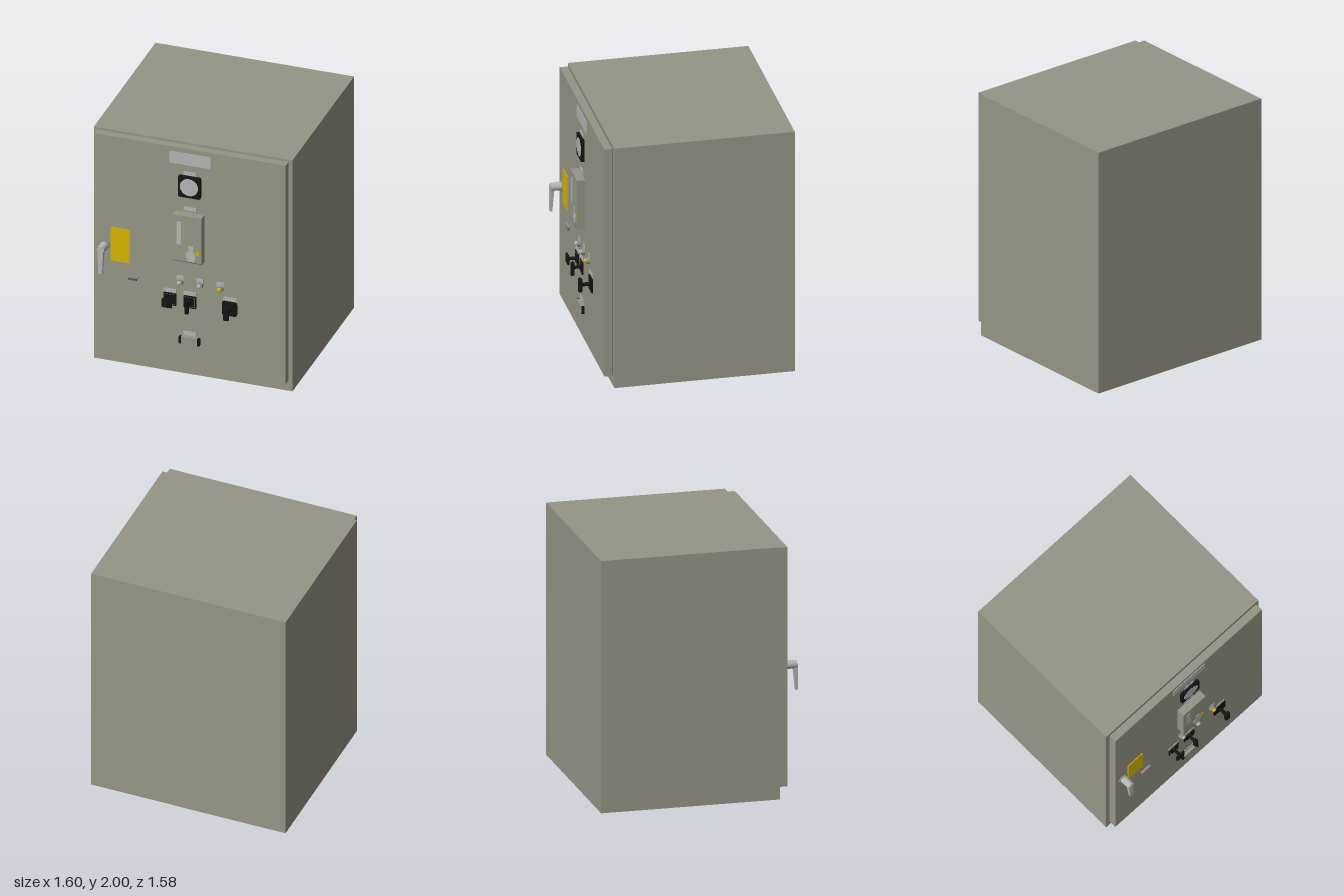
import * as THREE from 'three';
import { RoundedBoxGeometry } from 'three/addons/geometries/RoundedBoxGeometry.js';

const paint = (name, color) => {
  const m = new THREE.MeshStandardMaterial({ color });
  m.name = name;
  return m;
};

export function createModel() {
  const cabinetPaint = paint('cabinet grey-beige', 0x969686);
  const black = paint('black plastic', 0x141414);
  const silver = paint('label silver', 0xb4b4b4);
  const yellow = paint('yellow', 0xd8b400);
  const steel = paint('steel grey', 0x8c8c8c);
  const seam = paint('seam dark grey', 0x55554c);

  const model = new THREE.Group();
  model.name = 'controlCabinet';
  const FACE = 0.685; // door front plane

  const add = (name, geometry, material, x = 0, y = 0, z = 0, parent = model) => {
    const mesh = new THREE.Mesh(geometry, material);
    mesh.name = name;
    mesh.position.set(x, y, z);
    parent.add(mesh);
    return mesh;
  };
  // Box given by its limits on each axis
  const block = (name, m, x0, x1, y0, y1, z0, z1) =>
    add(name, new THREE.BoxGeometry(x1 - x0, y1 - y0, z1 - z0), m,
      (x0 + x1) / 2, (y0 + y1) / 2, (z0 + z1) / 2);
  // Round part turned about the z axis, starting at z0
  const disc = (name, m, x, y, z0, z1, rBack, rFront = rBack, sides = 28) => {
    const g = new THREE.CylinderGeometry(rFront, rBack, z1 - z0, sides);
    g.rotateX(Math.PI / 2);
    return add(name, g, m, x, y, (z0 + z1) / 2);
  };
  const label = (x, y0, y1, half = 0.05) =>
    block('label', silver, x - half, x + half, y0, y1, FACE, FACE + 0.004);
  // Square plate with rounded corners
  const roundPlate = (name, m, x, y, w, h, z0, z1, r) => {
    const a = w / 2, b = h / 2;
    const s = new THREE.Shape();
    s.moveTo(-a + r, -b);
    s.lineTo(a - r, -b); s.quadraticCurveTo(a, -b, a, -b + r);
    s.lineTo(a, b - r); s.quadraticCurveTo(a, b, a - r, b);
    s.lineTo(-a + r, b); s.quadraticCurveTo(-a, b, -a, b - r);
    s.lineTo(-a, -b + r); s.quadraticCurveTo(-a, -b, -a + r, -b);
    return add(name, new THREE.ExtrudeGeometry(s, { depth: z1 - z0, bevelEnabled: false, curveSegments: 5 }), m, x, y, z0);
  };

  // Enclosure and door
  block('cabinetBody', cabinetPaint, -0.8, 0.8, 0, 2, -0.79, 0.615);
  block('doorGasket', seam, -0.763, 0.763, 0.097, 1.978, 0.615, 0.622);
  block('door', cabinetPaint, -0.77, 0.77, 0.09, 1.985, 0.622, FACE);

  // Nameplate and the labels above the instruments
  block('nameplate', silver, -0.165, 0.165, 1.845, 1.945, FACE, FACE + 0.005);
  label(0, 1.757, 1.79);
  label(0, 1.453, 1.485);
  label(0, 0.372, 0.408);

  // Round-dial meter
  roundPlate('meterCase', black, 0, 1.665, 0.18, 0.18, FACE, 0.71, 0.015);
  disc('meterDial', silver, 0, 1.667, 0.708, 0.712, 0.073, 0.073, 40);

  // Protection relay with display, keypad and indicator
  block('relayCase', cabinetPaint, -0.115, 0.115, 1.03, 1.437, FACE, 0.75);
  block('relaySeam', seam, -0.115, 0.115, 1.04, 1.044, 0.75, 0.751);
  block('relayDisplay', silver, -0.085, -0.043, 1.185, 1.38, 0.75, 0.753);
  const keypad = new THREE.Shape([
    [0.005, 1.05], [0.055, 1.05], [0.063, 1.07], [0.063, 1.125], [0.048, 1.13],
    [0.048, 1.185], [0.01, 1.185], [0.01, 1.13], [-0.01, 1.12], [-0.01, 1.08], [0.005, 1.075],
  ].map(([x, y]) => new THREE.Vector2(x, y)));
  add('relayKeypad', new THREE.ExtrudeGeometry(keypad, { depth: 0.003, bevelEnabled: false }), silver, 0, 0, 0.75);
  block('relayIndicator', yellow, 0.068, 0.095, 1.113, 1.145, 0.75, 0.753);

  // Row of indicator lamps
  [[-0.08, silver], [0.08, silver], [0.243, yellow]].forEach(([x, lens]) => {
    label(x, 0.835, 0.88, 0.027);
    disc('lampCollar', steel, x, 0.826, FACE, 0.708, 0.028, 0.024);
    disc('lampLens', lens, x, 0.826, 0.708, 0.718, 0.018);
    const dome = new THREE.SphereGeometry(0.018, 20, 6, 0, Math.PI * 2, 0, Math.PI / 2);
    dome.rotateX(Math.PI / 2);
    dome.scale(1, 1, 0.5);
    add('lampDome', dome, lens, x, 0.826, 0.718);
  });

  // Selector switches with framed plates
  [-0.16, 0].forEach((x) => {
    label(x, 0.72, 0.753);
    roundPlate('switchPlate', black, x, 0.665, 0.102, 0.104, FACE, 0.694, 0.008);
    for (const s of [-1, 1]) {
      block('switchTrim', steel, x + s * 0.042 - 0.001, x + s * 0.042 + 0.001, 0.623, 0.707, 0.694, 0.695);
      block('switchTrim', steel, x - 0.042, x + 0.042, 0.664 + s * 0.042, 0.666 + s * 0.042, 0.694, 0.695);
    }
    disc('switchStem', black, x, 0.665, 0.694, 0.755, 0.013);
  });
  add('switchKnob', new RoundedBoxGeometry(0.08, 0.075, 0.018, 2, 0.006), black, -0.16, 0.665, 0.762);
  add('pistolHandle', new RoundedBoxGeometry(0.03, 0.11, 0.03, 2, 0.008), black, 0, 0.653, 0.76);
  label(0.32, 0.73, 0.763);
  roundPlate('controlPlate', black, 0.32, 0.665, 0.12, 0.122, FACE, 0.694, 0.02);
  disc('controlStem', black, 0.32, 0.665, 0.694, 0.765, 0.015);
  add('controlHandle', new RoundedBoxGeometry(0.046, 0.11, 0.03, 2, 0.01), black, 0.32, 0.662, 0.773);

  // Test block near the bottom
  roundPlate('testBlockBase', black, 0, 0.334, 0.17, 0.062, FACE, 0.706, 0.01);
  block('testBlockCover', cabinetPaint, -0.065, 0.065, 0.302, 0.367, FACE, 0.71);

  // Yellow notice plate and small catch
  block('noticePlate', yellow, -0.64, -0.487, 0.912, 1.198, FACE, FACE + 0.006);
  block('catchBody', steel, -0.505, -0.415, 0.793, 0.81, FACE, 0.705);
  block('catchLip', seam, -0.495, -0.425, 0.775, 0.793, FACE, 0.7);

  // Door handle: flange, boss and tapered lever
  disc('handleFlange', steel, -0.69, 1.03, FACE, 0.693, 0.046);
  disc('handleBoss', silver, -0.69, 1.03, 0.693, 0.775, 0.034, 0.03);
  const lever = new THREE.BoxGeometry(0.05, 0.21, 0.032, 1, 6, 1);
  const p = lever.attributes.position;
  for (let i = 0; i < p.count; i++) {
    const t = 0.5 - p.getY(i) / 0.21; // 0 at the pivot, 1 at the tip
    p.setX(i, p.getX(i) * (1 - 0.4 * t));
    p.setZ(i, p.getZ(i) * (1 - 0.45 * t) + 0.01 * t);
  }
  lever.computeVertexNormals();
  add('handleLever', lever, silver, -0.69, 0.935, 0.763);

  return model;
}
